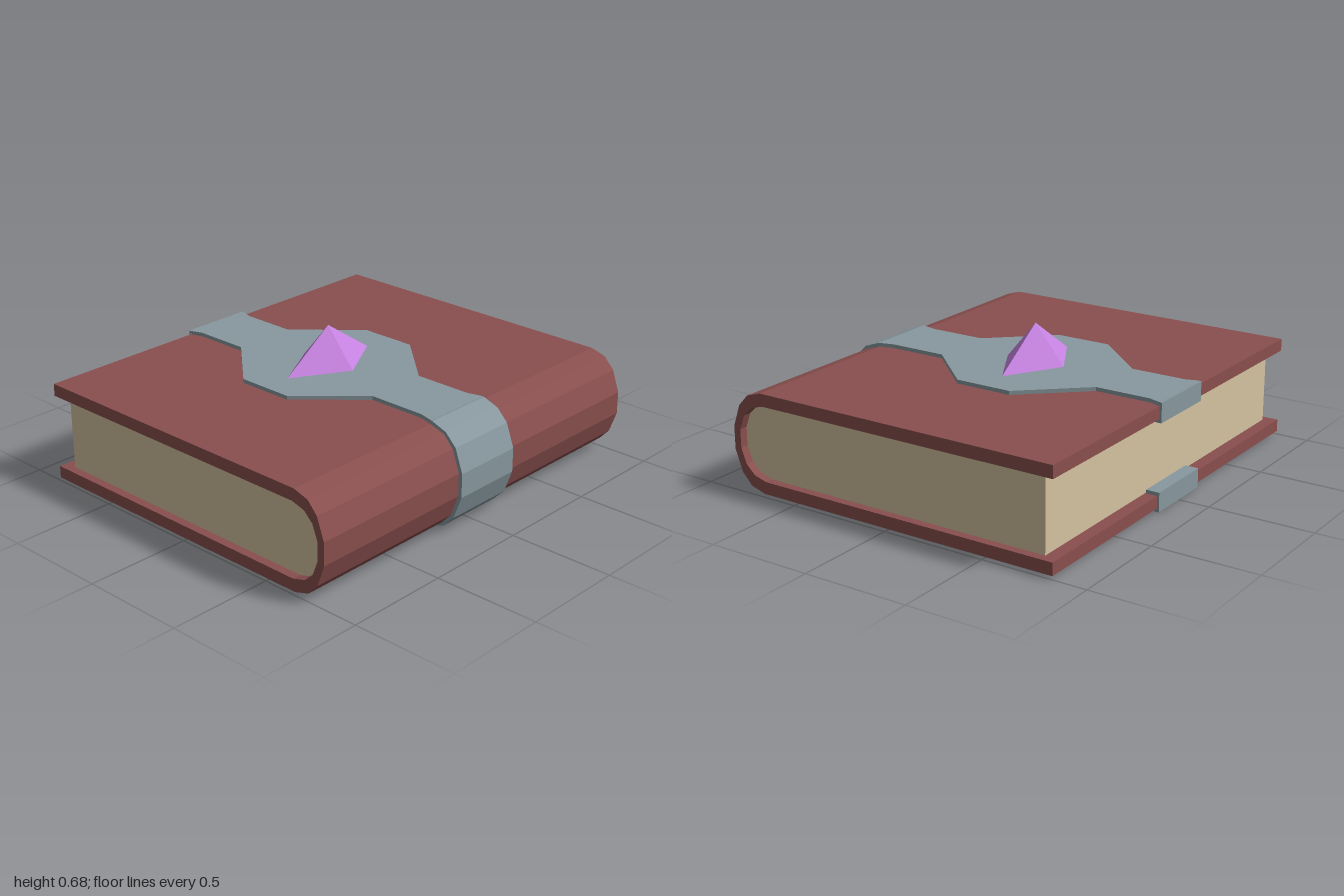
import * as THREE from 'three';

export function createModel() {
  const book = new THREE.Group();
  book.name = 'book';

  const material = (name, color) => {
    const m = new THREE.MeshStandardMaterial({ color });
    m.name = name;
    return m;
  };
  const leather = material('red leather', 0x894f4e);
  const paper = material('aged paper', 0xd6c4a1);
  const metal = material('grey metal', 0x88989f);
  const crystal = material('violet crystal', 0xc583e0);

  const add = (name, geometry, mat) => {
    const mesh = new THREE.Mesh(geometry, mat);
    mesh.name = name;
    book.add(mesh);
    return mesh;
  };
  const outline = (points) => new THREE.Shape(points.map(([a, b]) => new THREE.Vector2(a, b)));

  // Side profile given as [z, y], extruded along x and centred
  const sideExtrude = (points, width) =>
    new THREE.ExtrudeGeometry(outline(points), { depth: width, bevelEnabled: false })
      .translate(0, 0, -width / 2)
      .rotateY(-Math.PI / 2);

  // Faceted spine curve from top to bottom; the upper half is mirrored about the middle
  const mid = 0.2515;
  const spine = (upper) => [
    ...upper,
    ...upper.slice().reverse().map(([z, y]) => [z, 2 * mid - y]),
  ];
  const inner = spine([[0.66, 0.427], [0.725, 0.408], [0.77, 0.365], [0.797, 0.295]]);
  const outer = spine([[0.67, 0.485], [0.745, 0.462], [0.795, 0.408], [0.832, 0.305]]);
  const band = spine([[0.68, 0.501], [0.755, 0.474], [0.81, 0.418], [0.85, 0.308]]);

  // Cover: one C-shaped shell
  add('cover', sideExtrude([
    [-0.84, 0.485], ...outer, [-0.84, 0.018],
    [-0.84, 0.076], ...inner.slice().reverse(), [-0.84, 0.427],
  ], 2), leather);

  // Page block, slightly inset at the ends
  add('pages', sideExtrude([[-0.78, 0.427], ...inner, [-0.78, 0.076]], 1.92), paper);

  // Metal band round the spine and underside, ending in a hook over the lower cover edge
  add('spineBand', sideExtrude([
    [0.67, 0.501], ...band,
    [-0.85, 0.002], [-0.85, 0.093], [-0.785, 0.093], [-0.785, 0.076], [-0.84, 0.076], [-0.84, 0.018],
    ...outer.slice().reverse(),
  ], 0.35), metal);

  // Hook over the upper cover edge
  add('upperHook', sideExtrude([
    [-0.838, 0.502], [-0.85, 0.502], [-0.85, 0.41], [-0.785, 0.41], [-0.785, 0.427], [-0.838, 0.427],
  ], 0.35), metal);

  // Top strap widening into an octagonal plaque, half outline as [x, z]
  const half = [
    [0.175, -0.84], [0.155, -0.78], [0.155, -0.512], [0.41, -0.23],
    [0.41, 0.045], [0.155, 0.32], [0.155, 0.6], [0.175, 0.675],
  ];
  const plaque = [...half, ...half.slice().reverse().map(([x, z]) => [-x, z])];
  add('plaque', new THREE.ExtrudeGeometry(
    outline(plaque.map(([x, z]) => [x, -z])), { depth: 0.018, bevelEnabled: false },
  ).rotateX(-Math.PI / 2).translate(0, 0.485, 0), metal);

  // Four-sided gem
  const gem = add('gem', new THREE.ConeGeometry(1, 0.185, 4).toNonIndexed(), crystal);
  gem.geometry.scale(0.27, 1, 0.155);
  gem.geometry.computeVertexNormals();
  gem.position.set(-0.005, 0.5925, -0.09);

  return book;
}
